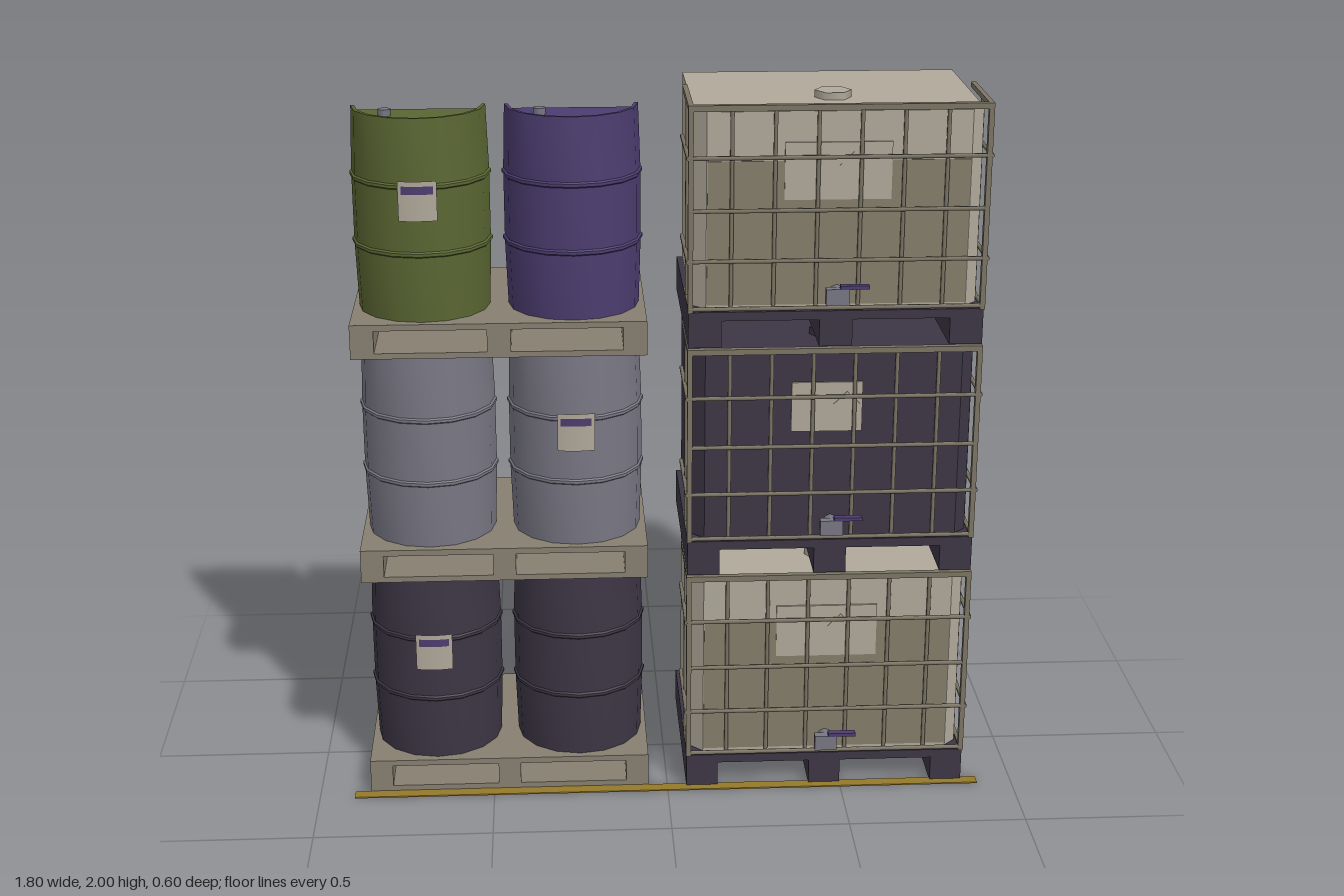
import * as THREE from 'three';
import { toCreasedNormals } from 'three/addons/utils/BufferGeometryUtils.js';

const mat = (name, color, side = THREE.FrontSide) => {
  const m = new THREE.MeshStandardMaterial({ color, side });
  m.name = name;
  return m;
};

export function createModel() {
  const wood = mat('palletWood', 0x877f70);
  const white = mat('tankPlastic', 0xb0a99b, THREE.DoubleSide);
  const dark = mat('darkPlastic', 0x3d3645, THREE.DoubleSide);
  const green = mat('greenPaint', 0x5a6632, THREE.DoubleSide);
  const purple = mat('purplePaint', 0x4c3d70, THREE.DoubleSide);
  const grey = mat('greySteel', 0x787784, THREE.DoubleSide);
  const steel = mat('cageSteel', 0x7c7565);
  const liquid = mat('liquidTint', 0x847d6a);
  const yellow = mat('yellowLine', 0x957a2b);

  const root = new THREE.Group();
  root.name = 'stackedDrumsAndTanks';

  const add = (parent, name, geo, material, x = 0, y = 0, z = 0) => {
    const m = new THREE.Mesh(geo, material);
    m.name = name;
    m.position.set(x, y, z);
    parent.add(m);
    return m;
  };
  // box given by its min and max on each axis
  const box = (parent, name, material, x0, x1, y0, y1, z0, z1) =>
    add(parent, name, new THREE.BoxGeometry(x1 - x0, y1 - y0, z1 - z0), material,
      (x0 + x1) / 2, (y0 + y1) / 2, (z0 + z1) / 2);
  const group = (parent, name, x, y, z) => {
    const g = new THREE.Group();
    g.name = name;
    g.position.set(x, y, z);
    parent.add(g);
    return g;
  };

  // floor line
  box(root, 'floorLine', yellow, -0.9, 0.9, 0, 0.004, 0.25, 0.285);

  // half drum, open at the back, with two hoops and a sunken lid
  const profile = [[0.18, 0], [0.186, 0.18], [0.191, 0.184], [0.191, 0.192], [0.186, 0.196],
    [0.186, 0.365], [0.191, 0.369], [0.191, 0.377], [0.186, 0.381], [0.18, 0.555],
    [0.17, 0.555], [0.166, 0.543], [0, 0.543]].map(p => new THREE.Vector2(...p));
  const drumGeo = toCreasedNormals(
    new THREE.LatheGeometry(profile, 8, -Math.PI / 2, Math.PI), 0.5);
  const wrap = (r, h, a) => new THREE.CylinderGeometry(r, r, h, 4, 1, true, -a, 2 * a);

  function drum(parent, x, paint, labelled) {
    const g = group(parent, 'drum', x, 0.1, 0.05);
    add(g, 'drumShell', drumGeo, paint);
    add(g, 'bung', new THREE.CylinderGeometry(0.017, 0.017, 0.02, 8), grey, -0.085, 0.551, 0.08);
    if (labelled) {
      add(g, 'drumLabel', wrap(0.193, 0.108, 0.27), white, 0, 0.336, 0);
      add(g, 'labelStripe', wrap(0.195, 0.022, 0.22), purple, 0, 0.366, 0);
    }
  }

  // wooden pallet: two decks on three stringers
  function woodPallet(parent) {
    const g = group(parent, 'woodPallet', 0, 0, 0);
    box(g, 'topDeck', wood, -0.4, 0.4, 0.083, 0.1, -0.3, 0.25);
    box(g, 'bottomDeck', wood, -0.4, 0.4, 0.004, 0.02, -0.3, 0.25);
    for (const x of [-0.368, 0, 0.368])
      box(g, 'stringer', wood, x - 0.032, x + 0.032, 0.02, 0.083, -0.3, 0.25);
  }

  [[dark, dark, 0], [grey, grey, 1], [green, purple, 0]].forEach(([left, right, label], i) => {
    const g = group(root, 'drumLevel', -0.455, i * 0.655, 0);
    woodPallet(g);
    drum(g, -0.205, left, label === 0);
    drum(g, 0.205, right, label === 1);
  });

  // tank body: box with chamfered front corners
  const plan = new THREE.Shape([[-0.385, 0.297], [-0.385, -0.21], [-0.352, -0.243],
    [0.352, -0.243], [0.385, -0.21], [0.385, 0.297]].map(p => new THREE.Vector2(...p)));
  const tankGeo = new THREE.ExtrudeGeometry(plan, { depth: 0.537, bevelEnabled: false });
  tankGeo.rotateX(-Math.PI / 2);

  // round bar along one axis
  const bar = (parent, name, axis, length, x, y, z, r = 0.006) => {
    const m = add(parent, name, new THREE.CylinderGeometry(r, r, length, 6), steel, x, y, z);
    if (axis === 'x') m.rotation.z = Math.PI / 2;
    if (axis === 'z') m.rotation.x = Math.PI / 2;
  };

  function cage(parent) {
    const g = group(parent, 'cage', 0, 0, 0);
    // front grid
    for (let i = 1; i < 7; i++)
      bar(g, 'frontUpright', 'y', 0.55, -0.4 + i * 0.1143, 0.38, 0.255);
    for (const y of [0.523, 0.38, 0.242, 0.11])
      bar(g, 'frontCrossbar', 'x', 0.8, 0, y, 0.263);
    box(g, 'topRail', steel, -0.402, 0.402, 0.648, 0.664, 0.25, 0.268);
    // short side returns
    for (const s of [-1, 1]) {
      box(g, 'cornerPost', steel, s * 0.395 - 0.007, s * 0.395 + 0.007, 0.1, 0.664, 0.25, 0.268);
      box(g, 'sideTopRail', steel, s * 0.395 - 0.007, s * 0.395 + 0.007, 0.65, 0.664, -0.01, 0.25);
      for (const y of [0.523, 0.242])
        bar(g, 'sideCrossbar', 'z', 0.28, s * 0.402, y, 0.128);
      bar(g, 'sideBottomBar', 'z', 0.21, s * 0.396, 0.108, 0.16);
      bar(g, 'sideUpright', 'y', 0.55, s * 0.396, 0.378, 0.127);
    }
  }

  function tankPallet(parent) {
    const g = group(parent, 'tankPallet', 0, 0, 0);
    box(g, 'deck', dark, -0.4, 0.4, 0.075, 0.1, -0.3, 0.26);
    for (const x of [-0.355, 0, 0.355])
      box(g, 'runner', dark, x - 0.045, x + 0.045, 0, 0.075, -0.3, 0.26);
  }

  function valve(parent) {
    const g = group(parent, 'valve', 0, 0.15, 0);
    const pipe = add(g, 'outlet', new THREE.CylinderGeometry(0.02, 0.02, 0.045, 8), grey, 0, 0, 0.26);
    pipe.rotation.x = Math.PI / 2;
    box(g, 'valveBody', grey, -0.033, 0.03, -0.024, 0.02, 0.272, 0.297);
    box(g, 'valveHandle', purple, 0.005, 0.083, 0.02, 0.03, 0.28, 0.3);
  }

  [white, dark, white].forEach((plastic, i) => {
    const g = group(root, 'tankLevel', 0.455, i * 0.6675, 0);
    tankPallet(g);
    add(g, 'tank', tankGeo, plastic, 0, 0.105, 0);
    const cap = add(g, 'fillCap', new THREE.CylinderGeometry(0.05, 0.05, 0.02, 6), plastic, 0, 0.652, 0.065);
    cap.rotation.y = Math.PI / 2;
    // painted front: liquid level, label plate and diamond
    if (plastic === white) {
      box(g, 'liquidLevel', liquid, -0.35, 0.35, 0.115, 0.51, 0.242, 0.246);
      box(g, 'tankLabel', white, -0.145, 0.14, 0.405, 0.56, 0.243, 0.249);
    } else {
      box(g, 'tankLabel', white, -0.115, 0.08, 0.418, 0.56, 0.242, 0.248);
    }
    const diamond = add(g, 'diamondSign', new THREE.BoxGeometry(0.052, 0.052, 0.004), white, 0.037, 0.497, 0.249);
    diamond.rotation.z = Math.PI / 4;
    cage(g);
    valve(g);
  });

  return root;
}
